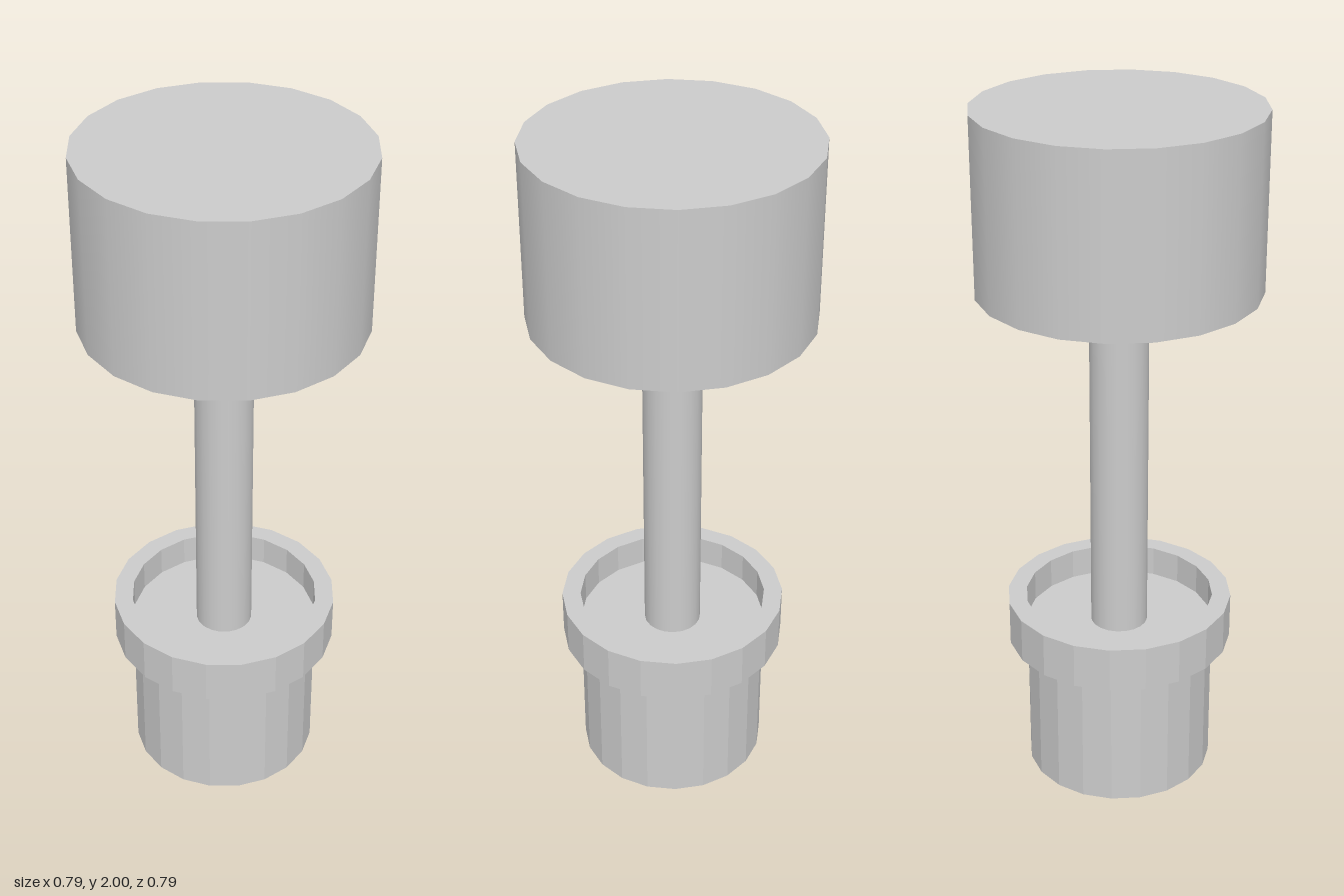
import * as THREE from 'three';

const SIDES = 20;

export function createModel() {
  const model = new THREE.Group();
  const smooth = new THREE.MeshStandardMaterial({ color: 0xcccccc });
  const faceted = new THREE.MeshStandardMaterial({ color: 0xcccccc, flatShading: true });

  const add = (name, geometry, material) => {
    const mesh = new THREE.Mesh(geometry, material);
    mesh.name = name;
    model.add(mesh);
  };
  // Upright cylinder between two heights
  const cylinder = (radius, bottom, top) =>
    new THREE.CylinderGeometry(radius, radius, top - bottom, SIDES).translate(0, (bottom + top) / 2, 0);

  // Pot body, its top face is the soil
  add('pot', cylinder(0.274, 0, 0.46), faceted);

  // Raised rim: rectangular section turned around the axis
  const [inner, outer, low, high] = [0.274, 0.328, 0.417, 0.55];
  const section = [[inner, low], [outer, low], [outer, high], [inner, high], [inner, low]]
    .map(([x, y]) => new THREE.Vector2(x, y));
  add('potRim', new THREE.LatheGeometry(section, SIDES), faceted);

  // Trunk and foliage
  add('trunk', cylinder(0.083, 0.45, 1.51), smooth);
  add('foliage', cylinder(0.395, 1.5, 2), smooth);

  return model;
}
